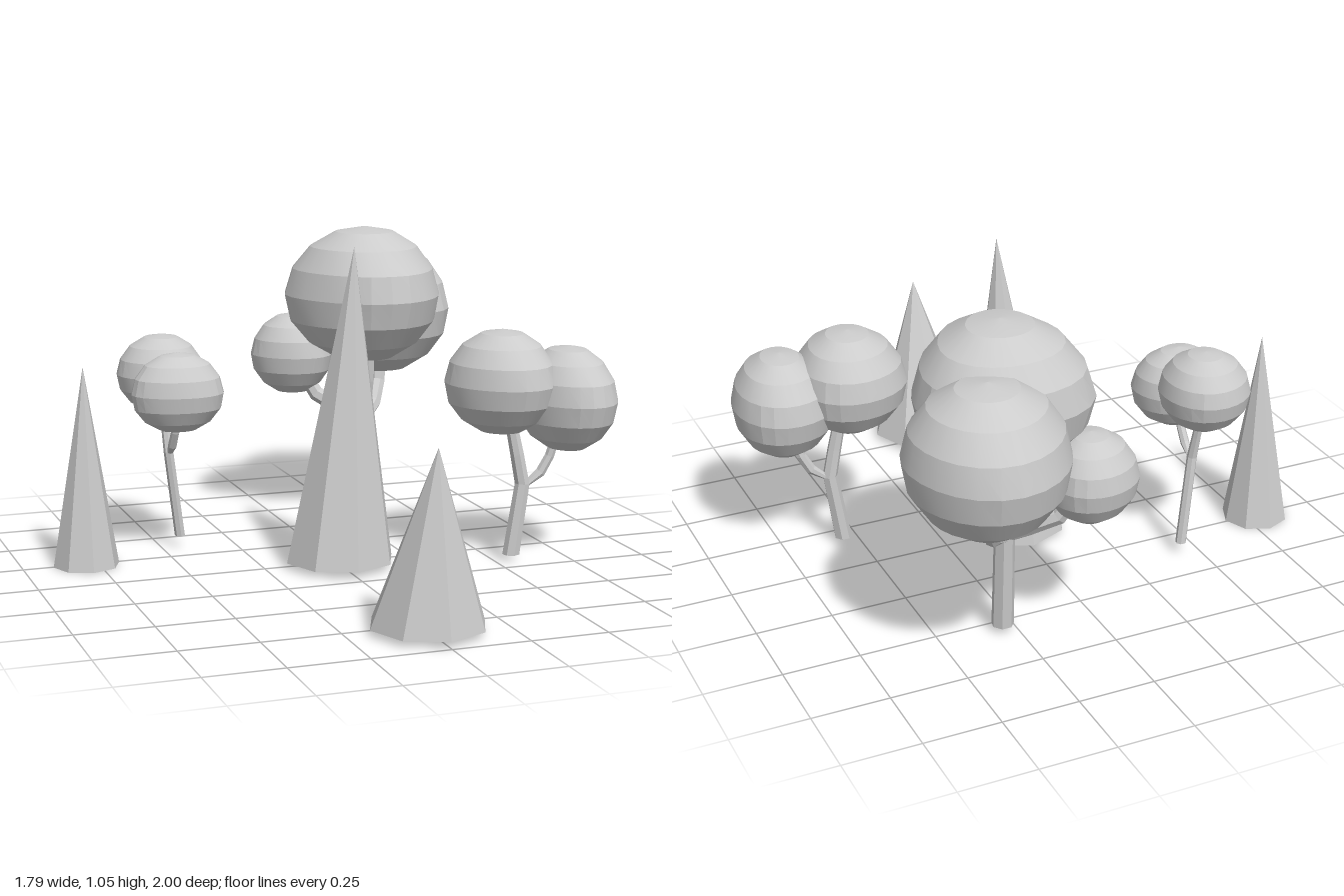
import * as THREE from 'three';
import { toCreasedNormals } from 'three/addons/utils/BufferGeometryUtils.js';

const smooth = new THREE.MeshStandardMaterial({ color: 0xcccccc });
const faceted = new THREE.MeshStandardMaterial({ color: 0xcccccc, flatShading: true });

function mesh(name, geometry, material) {
  const m = new THREE.Mesh(geometry, material);
  m.name = name;
  return m;
}

// Eight-sided cone whose tip leans by (tipX, tipZ)
function conifer({ x, y, z, radius, height, tipX, tipZ }) {
  const g = new THREE.ConeGeometry(radius, height, 8);
  const p = g.attributes.position;
  for (let i = 0; i < p.count; i++) {
    if (p.getY(i) > 0) p.setXYZ(i, p.getX(i) + tipX, p.getY(i), p.getZ(i) + tipZ);
  }
  g.translate(x, y + height / 2, z);
  return mesh('conifer', g, faceted);
}

// Lumpy ellipsoid: bands stay crisp, each band is smooth around
function crown([x, y, z], [rx, ry, rz], phase, lump = 0.03) {
  const g = new THREE.SphereGeometry(1, 24, 8);
  const p = g.attributes.position;
  const v = new THREE.Vector3();
  for (let i = 0; i < p.count; i++) {
    v.fromBufferAttribute(p, i);
    const ring = Math.hypot(v.x, v.z);
    const a = Math.atan2(v.x, v.z);
    const k = 1 + ring * lump * (Math.cos(3 * (a - phase)) + 0.5 * Math.sin(2 * a + 3 * v.y + phase));
    p.setXYZ(i, v.x * rx * k, v.y * ry, v.z * rz * k);
  }
  g.translate(x, y, z);
  return mesh('crown', toCreasedNormals(g, 0.3), smooth);
}

// Tapered limb along points [x, y, z, radius], with closed ends
function limb(name, points, sides = 7) {
  const pts = points.map(([x, y, z]) => new THREE.Vector3(x, y, z));
  const last = pts.length - 1;
  const pos = [];
  const index = [];
  const up = new THREE.Vector3(0, 1, 0);
  pts.forEach((c, i) => {
    const dir = pts[Math.min(i + 1, last)].clone().sub(pts[Math.max(i - 1, 0)]).normalize();
    if (i === 0) dir.copy(up);
    const q = new THREE.Quaternion().setFromUnitVectors(up, dir);
    for (let s = 0; s < sides; s++) {
      const a = (s / sides) * Math.PI * 2;
      const r = points[i][3];
      const v = new THREE.Vector3(Math.sin(a) * r, 0, Math.cos(a) * r).applyQuaternion(q).add(c);
      pos.push(v.x, v.y, v.z);
      if (i < last) {
        const a0 = i * sides + s;
        const b0 = i * sides + (s + 1) % sides;
        index.push(a0, b0, b0 + sides, a0, b0 + sides, a0 + sides);
      }
    }
  });
  for (let s = 1; s < sides - 1; s++) {
    const t = last * sides;
    index.push(0, s + 1, s, t, t + s, t + s + 1);
  }
  const g = new THREE.BufferGeometry();
  g.setAttribute('position', new THREE.Float32BufferAttribute(pos, 3));
  g.setIndex(index);
  g.computeVertexNormals();
  return mesh(name, g, faceted);
}

function tree(name, trunk, branches, crowns) {
  const t = new THREE.Group();
  t.name = name;
  t.add(limb('trunk', trunk));
  branches.forEach((b) => t.add(limb('branch', b)));
  crowns.forEach((c) => t.add(crown(...c)));
  return t;
}

export function createModel() {
  const model = new THREE.Group();
  model.name = 'grove';

  // Conifers
  model.add(
    conifer({ x: -0.79, y: 0, z: -0.245, radius: 0.11, height: 0.665, tipX: 0, tipZ: 0.01 }),
    conifer({ x: 0, y: 0.02, z: 0.03, radius: 0.183, height: 1.035, tipX: 0.047, tipZ: 0.008 }),
    conifer({ x: 0, y: 0.02, z: 0.81, radius: 0.183, height: 0.55, tipX: 0, tipZ: 0.072 }),
  );

  // Large tree with three crowns
  model.add(tree('largeTree',
    [[0.294, 0.022, -0.548, 0.036], [0.3, 0.38, -0.578, 0.033], [0.305, 0.5, -0.558, 0.032], [0.305, 0.64, -0.545, 0.03]],
    [
      [[0.3, 0.34, -0.575, 0.02], [0.24, 0.39, -0.61, 0.03], [0.16, 0.44, -0.67, 0.028], [0.11, 0.53, -0.7, 0.024]],
      [[0.3, 0.34, -0.575, 0.02], [0.37, 0.4, -0.65, 0.028], [0.405, 0.47, -0.695, 0.026], [0.42, 0.58, -0.72, 0.024]],
    ],
    [
      [[0.29, 0.815, -0.525], [0.27, 0.24, 0.268], 0, 0.045],
      [[0.43, 0.733, -0.752], [0.25, 0.243, 0.248], 0.9, 0.025],
      [[0.085, 0.585, -0.72], [0.145, 0.147, 0.145], 0.4, 0.03],
    ]));

  // Medium tree with two crowns
  model.add(tree('mediumTree',
    [[0.555, 0.022, 0.17, 0.029], [0.592, 0.26, 0.17, 0.025], [0.573, 0.36, 0.168, 0.023], [0.55, 0.48, 0.16, 0.02]],
    [[[0.59, 0.245, 0.17, 0.012], [0.655, 0.295, 0.175, 0.017], [0.685, 0.35, 0.18, 0.016], [0.71, 0.44, 0.19, 0.014]]],
    [
      [[0.52, 0.605, 0.155], [0.182, 0.175, 0.195], 0.3, 0.03],
      [[0.735, 0.545, 0.2], [0.162, 0.177, 0.196], 0.2, 0.03],
    ]));

  // Small tree with two crowns
  model.add(tree('smallTree',
    [[-0.437, 0.04, -0.365, 0.018], [-0.478, 0.34, -0.345, 0.017], [-0.483, 0.42, -0.36, 0.015], [-0.488, 0.52, -0.38, 0.014]],
    [[[-0.475, 0.33, -0.345, 0.008], [-0.478, 0.37, -0.295, 0.015], [-0.475, 0.42, -0.268, 0.014], [-0.47, 0.49, -0.25, 0.012]]],
    [
      [[-0.488, 0.602, -0.387], [0.147, 0.134, 0.15], 0.5, 0.025],
      [[-0.47, 0.56, -0.242], [0.155, 0.135, 0.123], 0.7, 0.03],
    ]));

  return model;
}
